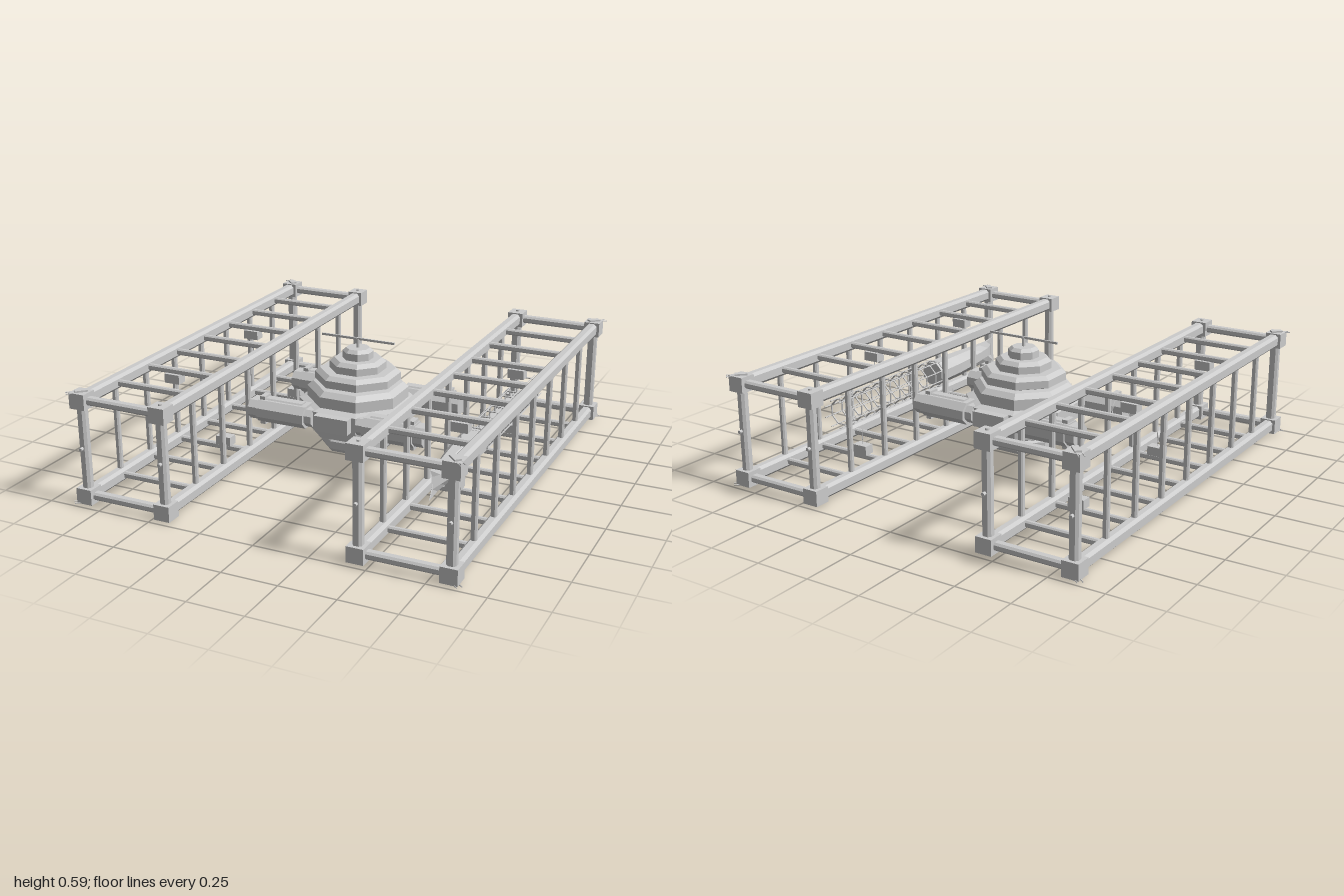
import * as THREE from 'three';

const mat = new THREE.MeshStandardMaterial({ color: 0xcccccc, flatShading: true, side: THREE.DoubleSide });
const V = (x, y, z) => new THREE.Vector3(x, y, z);
const MID = 0.2625; // height of the model's plane of symmetry

function add(parent, name, geometry, x = 0, y = 0, z = 0) {
  const mesh = new THREE.Mesh(geometry, mat);
  mesh.name = name;
  mesh.position.set(x, y, z);
  parent.add(mesh);
  return mesh;
}

const box = (parent, name, w, h, d, x, y, z) => add(parent, name, new THREE.BoxGeometry(w, h, d), x, y, z);

// Bar with bevelled long edges between two points
function beam(parent, name, a, b, w, h, bevel = 0.25) {
  const c = Math.min(w, h) * bevel, x = w / 2, y = h / 2, len = a.distanceTo(b);
  const shape = new THREE.Shape([
    [x, -y + c], [x, y - c], [x - c, y], [-x + c, y], [-x, y - c], [-x, -y + c], [-x + c, -y], [x - c, -y],
  ].map(([px, py]) => new THREE.Vector2(px, py)));
  const geo = new THREE.ExtrudeGeometry(shape, { depth: len, bevelEnabled: false }).translate(0, 0, -len / 2);
  const mesh = add(parent, name, geo);
  mesh.position.copy(a).lerp(b, 0.5);
  mesh.lookAt(b);
  return mesh;
}

function rod(parent, name, a, b, r, sides = 8) {
  const mesh = add(parent, name, new THREE.CylinderGeometry(r, r, a.distanceTo(b), sides));
  mesh.position.copy(a).lerp(b, 0.5);
  mesh.quaternion.setFromUnitVectors(V(0, 1, 0), b.clone().sub(a).normalize());
  return mesh;
}

// Long open box frame; s is its side of the model
function truss(s) {
  const g = new THREE.Group();
  g.name = s > 0 ? 'leftTruss' : 'rightTruss';
  const inner = 0.445 * s, outer = 0.837 * s, low = 0.045, high = 0.48, end = 0.945;
  for (const x of [inner, outer]) {
    for (const y of [low, high]) {
      beam(g, 'longBeam', V(x, y, -end), V(x, y, end), 0.05, 0.06);
      for (const z of [-end, end]) box(g, 'cornerBlock', 0.075, 0.07, 0.075, x, y, z);
    }
  }
  for (let i = -4; i <= 4; i++) {
    const isEnd = Math.abs(i) === 4, z = isEnd ? Math.sign(i) * end : i * 0.236;
    const w = isEnd ? 0.042 : 0.025;
    for (const x of [inner, outer]) beam(g, 'post', V(x, low, z), V(x, high, z), w, w);
    for (const y of [low, high]) beam(g, 'rung', V(inner, y, z), V(outer, y, z), w, isEnd ? 0.034 : 0.028);
  }
  // Sensor boxes with whiskers, alternately under top rungs and on bottom rungs
  for (const [x, z, top] of [[0.575, -0.472, 0], [0.683, -0.236, 1], [0.575, 0.236, 0], [0.683, 0.472, 1]]) {
    const y = top ? 0.447 : 0.08, d = top ? -1 : 1;
    box(g, 'sensorBox', 0.075, 0.042, 0.05, x * s, y, z);
    rod(g, 'sensorWhisker', V(x * s, y, z), V(x * s, y + d * 0.093, z), 0.002, 4);
  }
  // Fittings on the corners and end posts
  for (const ez of [-1, 1]) {
    for (const t of [-1, 1]) {
      const y = MID + t * 0.253;
      box(g, 'cornerThruster', 0.028, 0.014, 0.055, outer, y, ez * end).rotation.y = s * ez * Math.PI / 4;
      for (const o of [-0.008, 0.008]) {
        rod(g, 'cornerAntenna', V(outer + s * o, y, ez * (end - o)),
          V(outer + s * (0.048 + o), y - t * 0.003, ez * (end + 0.043 - o)), 0.0025, 5);
      }
      add(g, 'cornerStud', new THREE.CylinderGeometry(0.008, 0.008, 0.02, 8), inner, MID + t * 0.25, ez * end);
    }
    for (const x of [inner, outer]) {
      rod(g, 'postStud', V(x, MID, ez * 0.955), V(x, MID, ez * 0.982), 0.008);
    }
  }
  return g;
}

// Stepped eight-sided core with an aerial bar
function hub() {
  const g = new THREE.Group();
  g.name = 'hub';
  const k = 1 / Math.cos(Math.PI / 8);
  const profile = [
    [0, 0.055], [0.083, 0.055], [0.09, 0.078], [0.15, 0.08], [0.158, 0.095], [0.158, 0.13], [0.15, 0.14],
    [0.212, 0.165], [0.215, 0.215], [0.25, 0.225], [0.25, 0.3], [0.215, 0.31], [0.215, 0.36], [0.19, 0.382],
    [0.155, 0.385], [0.182, 0.395], [0.182, 0.43], [0.16, 0.447], [0.12, 0.447], [0.12, 0.48], [0.1, 0.497],
    [0.066, 0.497], [0.066, 0.53], [0.05, 0.545], [0, 0.545],
  ].map(([r, y]) => new THREE.Vector2(r * k, y));
  add(g, 'core', new THREE.LatheGeometry(profile, 8, Math.PI / 8));
  for (const z of [-0.26, 0.26]) box(g, 'dockingPort', 0.165, 0.07, 0.064, 0, 0.265, z);
  rod(g, 'aerialMast', V(0, 0.54, 0), V(0, 0.585, 0), 0.008);
  box(g, 'aerialBar', 0.36, 0.01, 0.008, 0, 0.585, 0);
  return g;
}

// Arm joining the core to a truss
function arm(sx, sz) {
  const g = new THREE.Group();
  g.name = 'arm';
  const z = 0.215 * sz, p = (x) => V(x * sx, MID, z);
  beam(g, 'armShoulder', p(0.11), p(0.18), 0.105, 0.08, 0.3);
  beam(g, 'armBody', p(0.145), p(0.385), 0.133, 0.102, 0.3);
  beam(g, 'armCollar', p(0.38), p(0.43), 0.115, 0.09, 0.3);
  beam(g, 'armRidge', p(0.17), p(0.36), 0.05, 0.114, 0.15);
  for (const t of [-1, 1]) box(g, 'armLatch', 0.026, 0.03, 0.055, 0.367 * sx, MID + t * 0.052, z);
  return g;
}

// Lattice boom and tapering body carried inside the left truss
function boom() {
  const g = new THREE.Group();
  g.name = 'boom';
  g.position.set(0.637, MID, 0);
  const corner = (i, r) => {
    const a = (i + 0.5) * Math.PI / 4;
    return [Math.cos(a) * r, Math.sin(a) * r];
  };
  for (let i = 0; i < 8; i++) {
    const [x, y] = corner(i, 0.065);
    rod(g, 'boomRod', V(x, y, -0.58), V(x, y, 0.18), 0.003, 5);
  }
  for (let i = 0; i < 11; i++) {
    const hoop = add(g, 'boomHoop', new THREE.TorusGeometry(0.063, 0.004, 5, 8), 0, 0, -0.535 + i * 0.0707);
    hoop.rotation.z = Math.PI / 8;
  }
  const collar = add(g, 'boomCollar', new THREE.CylinderGeometry(0.06, 0.06, 0.04, 8), 0, 0, 0.175);
  collar.rotation.set(Math.PI / 2, Math.PI / 8, 0);

  // Body: eight-sided sections [z, half width, half height, notch depth]
  const sections = [
    [0.16, 0.05, 0.045, 0], [0.2, 0.064, 0.056, 0], [0.32, 0.06, 0.056, 0], [0.44, 0.047, 0.054, 0],
    [0.55, 0.03, 0.052, 0], [0.62, 0.017, 0.053, 0.005], [0.69, 0.002, 0.066, 0.045],
  ];
  const pos = [], idx = [];
  for (const [z, w, h, notch] of sections) {
    for (let i = 0; i < 8; i++) {
      const [x, y] = corner(i, 1 / Math.cos(Math.PI / 8));
      pos.push(x * w, y * h, z - notch * (1 - Math.abs(y)));
    }
  }
  for (let j = 0; j < sections.length - 1; j++) {
    for (let i = 0; i < 8; i++) {
      const a = j * 8 + i, b = j * 8 + (i + 1) % 8;
      idx.push(a, b, b + 8, a, b + 8, a + 8);
    }
  }
  for (let i = 1; i < 7; i++) idx.push(0, i + 1, i);
  const geo = new THREE.BufferGeometry();
  geo.setAttribute('position', new THREE.Float32BufferAttribute(pos, 3));
  geo.setIndex(idx);
  geo.computeVertexNormals();
  add(g, 'boomBody', geo);
  return g;
}

export function createModel() {
  const model = new THREE.Group();
  model.name = 'spaceStation';
  model.add(hub(), boom());
  for (const s of [-1, 1]) {
    model.add(truss(s));
    for (const z of [-1, 1]) model.add(arm(s, z));
  }
  return model;
}
